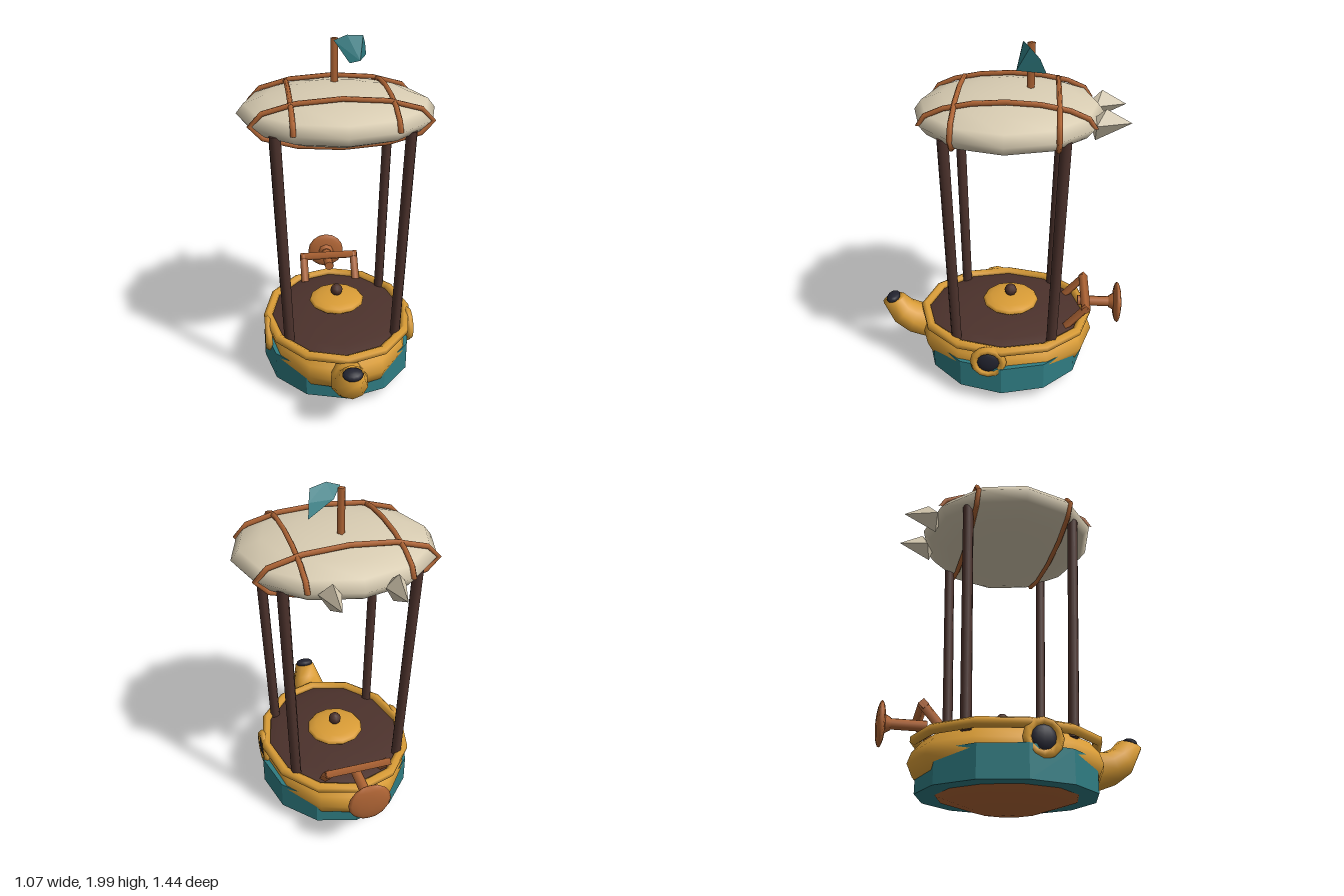
import * as THREE from 'three';
import { ConvexGeometry } from 'three/addons/geometries/ConvexGeometry.js';

const mat = (name, color, flatShading = false) => {
  const m = new THREE.MeshStandardMaterial({ color, flatShading });
  m.name = name;
  return m;
};

// Ellipse arc sampled by angle; place(a, b) maps its two axes into space
class Arc extends THREE.Curve {
  constructor(place, ra, rb, sweep) {
    super();
    Object.assign(this, { place, ra, rb, sweep });
  }
  getUtoTmapping(u) { return u; }
  getPoint(t) {
    const a = t * this.sweep;
    return this.place(Math.cos(a) * this.ra, Math.sin(a) * this.rb);
  }
}

// Closed tube from side-view outline pairs: [lowerY, lowerZ, upperY, upperZ, halfWidth]
function loft(rings, sides) {
  const pos = [], idx = [];
  for (const [ly, lz, uy, uz, w] of rings) {
    for (let i = 0; i < sides; i++) {
      const a = (i / sides) * Math.PI * 2, s = (1 + Math.cos(a)) / 2;
      pos.push(Math.sin(a) * w, ly + (uy - ly) * s, lz + (uz - lz) * s);
    }
  }
  for (let r = 0; r < rings.length - 1; r++) {
    for (let i = 0; i < sides; i++) {
      const j = (i + 1) % sides, a = r * sides + i, b = r * sides + j;
      idx.push(a, a + sides, b, b, a + sides, b + sides);
    }
  }
  const e = (rings.length - 1) * sides;
  for (let i = 1; i < sides - 1; i++) idx.push(e, e + i + 1, e + i);
  const g = new THREE.BufferGeometry();
  g.setAttribute('position', new THREE.Float32BufferAttribute(pos, 3));
  g.setIndex(idx);
  g.computeVertexNormals();
  return g;
}

export function createModel() {
  const root = new THREE.Group();
  const gold = mat('gold', 0xd99c36);
  gold.side = THREE.DoubleSide;
  const cream = mat('cream', 0xd8ccb2, false);
  const copper = mat('copper', 0xb06535);
  const brown = mat('darkBrown', 0x4c322c);
  const teal = mat('teal', 0x2f7c82, true);
  const black = mat('blueBlack', 0x22232f);
  const V = (x, y, z) => new THREE.Vector3(x, y, z);
  const CZ = -0.03;

  const add = (name, geo, m, x = 0, y = 0, z = 0) => {
    const mesh = new THREE.Mesh(geo, m);
    mesh.name = name;
    mesh.position.set(x, y, z);
    root.add(mesh);
    return mesh;
  };
  const ball = (name, m, x, y, z, rx, ry, rz, w = 12, h = 8) =>
    add(name, new THREE.SphereGeometry(1, w, h).scale(rx, ry, rz), m, x, y, z);
  const rod = (name, m, a, b, ra, rb, sides = 8) => {
    const d = b.clone().sub(a), mid = a.clone().add(b).multiplyScalar(0.5);
    const mesh = add(name, new THREE.CylinderGeometry(rb, ra, d.length(), sides), m, mid.x, mid.y, mid.z);
    mesh.quaternion.setFromUnitVectors(V(0, 1, 0), d.normalize());
    return mesh;
  };
  const lathe = (name, m, pts, rx, rz) =>
    add(name, new THREE.LatheGeometry(pts.map(p => new THREE.Vector2(...p)), 12).scale(rx, 1, rz), m, 0, 0, CZ);
  const hoop = (name, m, place, ra, rb, sweep, r, segs) =>
    add(name, new THREE.TubeGeometry(new Arc(place, ra, rb, sweep), segs, r, 6, sweep > 6), m);

  // Hull: bowl, band, body, rim and deck
  lathe('keelBowl', copper, [[0, 0.008], [0.38, 0.025], [0.8, 0.085], [0.95, 0.15]], 0.43, 0.46);
  add('hullBand', new THREE.CylinderGeometry(1, 1, 0.17, 12).scale(0.445, 1, 0.475), teal, 0, 0.175, CZ);
  lathe('body', gold, [[0.8, 0.12], [0.94, 0.17], [1, 0.24], [0.96, 0.3], [0.86, 0.36]], 0.42, 0.52);
  hoop('rim', gold, (a, b) => V(a, 0.365, CZ + b), 0.418, 0.487, Math.PI * 2, 0.028, 12);
  lathe('deck', brown, [[1, 0.355], [0.8, 0.385], [0.4, 0.4], [0, 0.404]], 0.41, 0.475);

  // Lid and knob
  ball('lid', gold, 0, 0.437, -0.06, 0.165, 0.038, 0.165);
  ball('lidKnob', brown, 0, 0.5, -0.06, 0.037, 0.037, 0.037, 8, 6);

  // Spout with dark opening
  add('spout', loft([
    [0.13, 0.4, 0.36, 0.42, 0.085],
    [0.19, 0.56, 0.365, 0.5, 0.105],
    [0.26, 0.655, 0.385, 0.545, 0.092],
    [0.39, 0.72, 0.43, 0.587, 0.062],
  ], 10), gold);
  ball('spoutOpening', black, 0, 0.42, 0.655, 0.056, 0.026, 0.042).rotation.x = 0.29;

  // Portholes
  for (const s of [-1, 1]) {
    add('portholeRing', new THREE.TorusGeometry(0.08, 0.024, 6, 12).rotateY(Math.PI / 2), gold, s * 0.42, 0.295, 0.045);
    ball('portholeGlass', black, s * 0.42, 0.295, 0.045, 0.025, 0.068, 0.068);
  }

  // Rear bracket, shaft and disc
  for (const s of [-1, 1]) rod('bracketLeg', copper, V(s * 0.165, 0.37, -0.39), V(s * 0.165, 0.51, -0.51), 0.025, 0.025, 4);
  rod('bracketBar', copper, V(-0.185, 0.5, -0.5), V(0.185, 0.5, -0.5), 0.027, 0.027, 4);
  rod('shaft', copper, V(0, 0.44, -0.46), V(0, 0.44, -0.68), 0.03, 0.03);
  rod('shaftCollar', copper, V(0, 0.44, -0.645), V(0, 0.44, -0.68), 0.035, 0.055);
  ball('rearDisc', copper, 0, 0.437, -0.695, 0.12, 0.12, 0.026);

  // Support posts
  for (const s of [-1, 1]) {
    rod('postFront', brown, V(s * 0.303, 0.34, 0.233), V(s * 0.342, 1.59, 0.262), 0.029, 0.029);
    rod('postBack', brown, V(s * 0.303, 0.34, -0.305), V(s * 0.342, 1.59, -0.335), 0.029, 0.029);
  }

  // Balloon and its ropes
  const BY = 1.623, BZ = -0.043;
  ball('balloon', cream, 0, BY, BZ, 0.533, 0.131, 0.498);
  for (const z of [0.213, -0.3]) {
    hoop('crossRope', copper, (a, b) => V(a, BY + 0.003 + b, z), 0.463, 0.125, Math.PI * 2, 0.014, 12);
  }
  for (const x of [-0.258, 0.258]) {
    hoop('lengthRope', copper, (a, b) => V(x, BY + 0.003 + b, BZ + a), 0.437, 0.125, Math.PI, 0.014, 8);
  }

  // Tail fins
  const finMat = mat('paleCream', 0xd8ccb3, true);
  for (const s of [-1, 1]) {
    add('tailFin', new ConvexGeometry([
      V(s * 0.153, 1.62, -0.667), V(s * 0.105, 1.615, -0.505), V(s * 0.213, 1.62, -0.487),
      V(s * 0.157, 1.693, -0.535), V(s * 0.155, 1.527, -0.488), V(s * 0.135, 1.62, -0.455),
    ]), finMat);
  }

  // Mast and flag
  rod('mast', copper, V(0, 1.74, -0.155), V(0, 1.98, -0.155), 0.02, 0.02, 4);
  add('flag', new ConvexGeometry([
    V(-0.008, 1.975, -0.11), V(0.063, 2, -0.116), V(0.153, 1.99, -0.15), V(0.172, 1.94, -0.2),
    V(0.184, 1.873, -0.232), V(0.13, 1.87, -0.084), V(0.074, 1.858, -0.088), V(0.04, 1.93, -0.165),
  ]), teal);

  return root;
}
